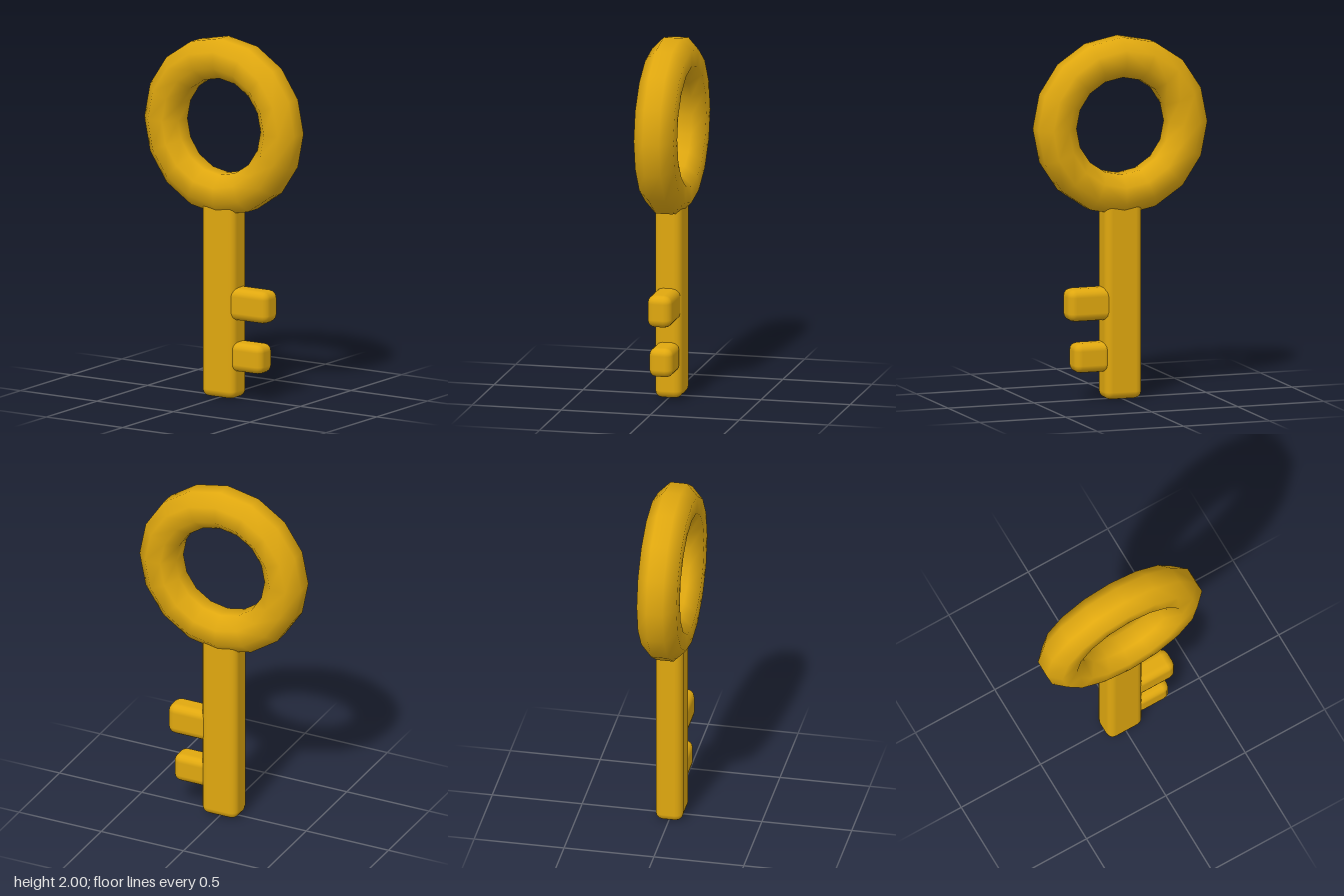
import * as THREE from 'three';
import { mergeVertices } from 'three/addons/utils/BufferGeometryUtils.js';
import { RoundedBoxGeometry } from 'three/addons/geometries/RoundedBoxGeometry.js';

export function createModel() {
  const key = new THREE.Group();
  key.name = 'key';
  const gold = new THREE.MeshStandardMaterial({ color: 0xe0a80f });
  gold.name = 'gold';

  const add = (name, geometry) => {
    const mesh = new THREE.Mesh(geometry, gold);
    mesh.name = name;
    key.add(mesh);
  };

  // Ring handle: octagonal tube with flat sides outward, swept in 16 steps
  const profile = [];
  for (let i = 0; i <= 8; i++) {
    const a = ((i % 8) + 0.5) * Math.PI / 4;
    profile.push(new THREE.Vector2(0.38 + 0.12 * Math.cos(a), 0.12 * Math.sin(a)));
  }
  let ring = new THREE.LatheGeometry(profile, 16);
  ring.deleteAttribute('normal');
  ring.deleteAttribute('uv');
  ring = mergeVertices(ring, 1e-4); // weld the seams for smooth shading
  ring.computeVertexNormals();
  ring.rotateX(Math.PI / 2).translate(0, 1.509, 0);
  add('ringHandle', ring);

  // Rounded bars given by their x and y extents and depth
  const bar = (name, x0, x1, y0, y1, depth, radius) => {
    const g = new RoundedBoxGeometry(x1 - x0, y1 - y0, depth, 2, radius);
    add(name, g.translate((x0 + x1) / 2, (y0 + y1) / 2, 0));
  };
  bar('shaft', -0.108, 0.108, 0, 1.225, 0.152, 0.042);
  bar('upperTooth', 0.05, 0.318, 0.44, 0.62, 0.138, 0.045);
  bar('lowerTooth', 0.07, 0.282, 0.155, 0.318, 0.134, 0.042);

  return key;
}
